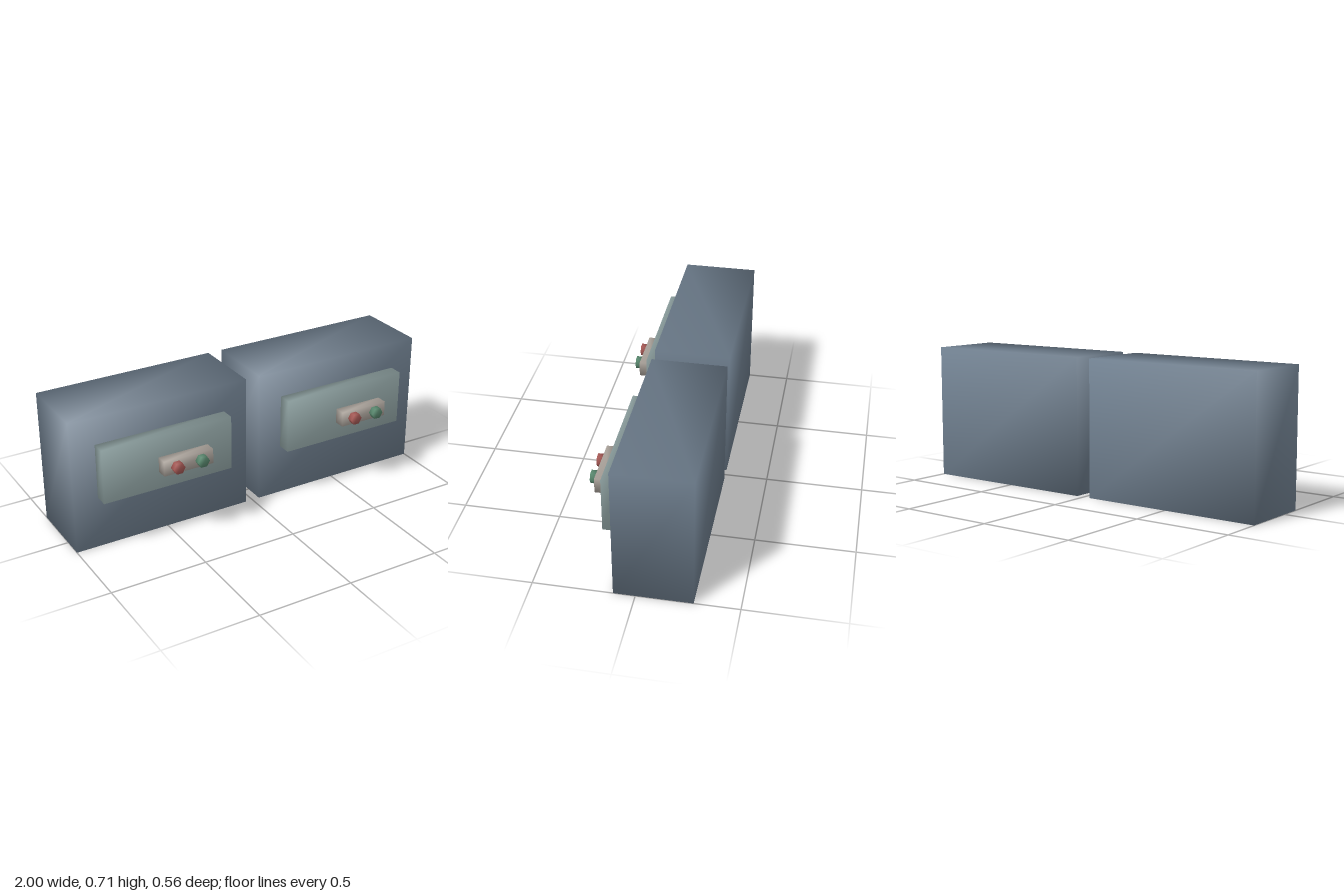
import * as THREE from 'three';
import { mergeVertices } from 'three/addons/utils/BufferGeometryUtils.js';

// Weld the corners so shading runs smoothly across the edges
function weld(geometry) {
  geometry.deleteAttribute('normal');
  geometry.deleteAttribute('uv');
  const welded = mergeVertices(geometry, 1e-4);
  welded.computeVertexNormals();
  return welded;
}

function part(name, geometry, color, x, y, z) {
  const mesh = new THREE.Mesh(weld(geometry), new THREE.MeshStandardMaterial({ color }));
  mesh.name = name;
  mesh.position.set(x, y, z);
  return mesh;
}

// Hexagonal button facing +z, with corners to the left and right
function button(name, color, x) {
  const geometry = new THREE.CylinderGeometry(0.032, 0.032, 0.031, 6);
  geometry.rotateY(Math.PI / 6).rotateX(Math.PI / 2);
  return part(name, geometry, color, x, 0.412, 0.2625);
}

// One cabinet with its front panel, control plate and two buttons
function createUnit(name, x) {
  const unit = new THREE.Group();
  unit.name = name;
  unit.position.x = x;
  unit.add(
    part('cabinet', new THREE.BoxGeometry(0.96, 0.706, 0.385), 0x708090, 0, 0.353, -0.0855),
    part('frontPanel', new THREE.BoxGeometry(0.704, 0.288, 0.073), 0x98acac, 0, 0.417, 0.1425),
    // The plate floats just ahead of the panel
    part('controlPlate', new THREE.BoxGeometry(0.27, 0.079, 0.057), 0xb0a8a0, 0.075, 0.4125, 0.2185),
    button('redButton', 0xa85a56, 0.008),
    button('greenButton', 0x5a8a70, 0.142),
  );
  return unit;
}

export function createModel() {
  const model = new THREE.Group();
  model.name = 'twinControlCabinets';
  model.add(createUnit('rightUnit', -0.52), createUnit('leftUnit', 0.52));
  return model;
}
